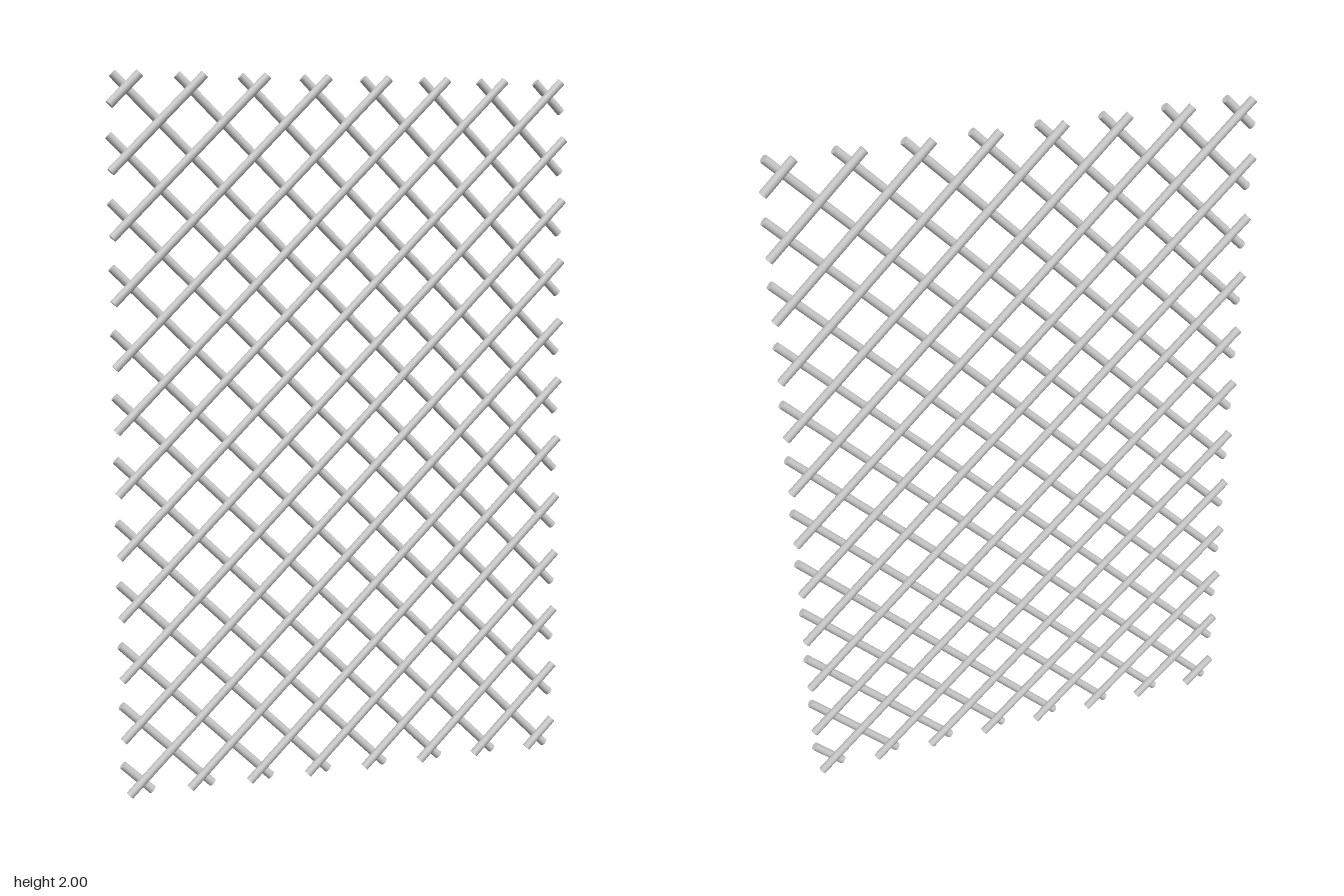
import * as THREE from 'three';

const PITCH = 0.174;   // spacing of rods along x and along y
const RADIUS = 0.012;
const HALF_W = 0.657;  // limits of the rod centre lines
const HALF_H = 0.9915;

// One layer of parallel 45 degree rods, clipped to the panel rectangle.
// slope is +1 or -1, z is the depth of the layer.
function rodLayer(name, slope, z, material) {
  const layer = new THREE.Group();
  layer.name = name;
  for (let k = -9; k <= 9; k++) {
    // Centre line: y = slope * x + offset
    const offset = k * PITCH;
    const x0 = Math.max(-HALF_W, -HALF_H - slope * offset);
    const x1 = Math.min(HALF_W, HALF_H - slope * offset);
    const length = (x1 - x0) * Math.SQRT2;
    const xm = (x0 + x1) / 2;
    const rod = new THREE.Mesh(new THREE.CylinderGeometry(RADIUS, RADIUS, length, 12), material);
    rod.name = 'rod';
    rod.position.set(xm, 1 + slope * xm + offset, z);
    rod.rotation.z = -slope * Math.PI / 4;
    layer.add(rod);
  }
  return layer;
}

export function createModel() {
  const material = new THREE.MeshStandardMaterial({ color: 0xcccccc });
  const lattice = new THREE.Group();
  lattice.name = 'latticePanel';
  // Two crossing layers resting against each other
  lattice.add(rodLayer('frontRods', 1, RADIUS, material));
  lattice.add(rodLayer('backRods', -1, -RADIUS, material));
  return lattice;
}
